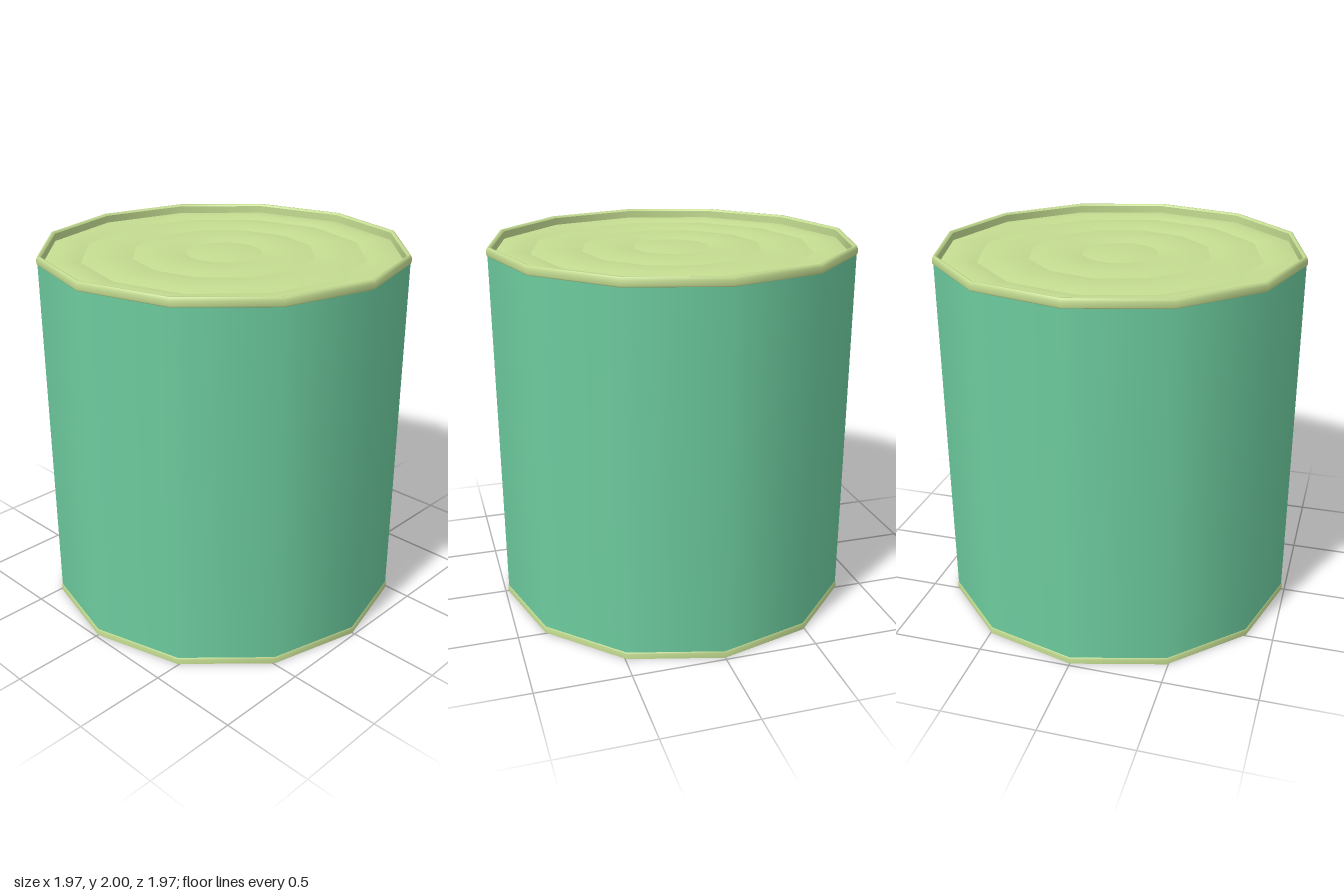
import * as THREE from 'three';

const SIDES = 12;

export function createModel() {
  const group = new THREE.Group();
  const paint = new THREE.MeshStandardMaterial({ color: 0x6dcc9f });
  const metal = new THREE.MeshStandardMaterial({ color: 0xc4dc91 });

  // Revolved part; profile runs from bottom/outside upwards, smooth within one profile
  function lathe(name, points, material, parent = group) {
    const profile = points.map(([r, y]) => new THREE.Vector2(r, y));
    const mesh = new THREE.Mesh(new THREE.LatheGeometry(profile, SIDES), material);
    mesh.name = name;
    parent.add(mesh);
  }

  // Can wall
  lathe('wall', [[0.98, 0.035], [0.98, 1.955]], paint);

  // Bottom rim and flat base
  lathe('bottomRim', [[0.985, 0], [0.985, 0.028], [0.98, 0.036]], metal);
  lathe('base', [[0, 0], [0.985, 0]], metal);

  // Rolled top rim: rounded lip, then the wall down to the lid
  lathe('topRim', [[0.98, 1.953], [0.985, 1.96], [0.985, 1.985], [0.978, 2], [0.968, 2], [0.96, 1.99]], metal);
  lathe('rimInside', [[0.96, 1.99], [0.96, 1.95]], metal);

  // Recessed lid: central dome and concentric arched rings, creased between them
  const lid = new THREE.Group();
  lid.name = 'lid';
  group.add(lid);
  const creases = [0, 0.205, 0.49, 0.76, 0.96];
  for (let i = 0; i < creases.length - 1; i++) {
    const inner = creases[i], outer = creases[i + 1], steps = 6;
    const points = [];
    for (let s = 0; s <= steps; s++) {
      const t = s / steps;
      const arch = i === 0 ? 1 - t * t : 4 * t * (1 - t);
      points.push([outer + (inner - outer) * (1 - t), 1.95 + 0.012 * arch]);
    }
    lathe(i === 0 ? 'lidDome' : 'lidRing' + i, points.reverse(), metal, lid);
  }
  return group;
}
